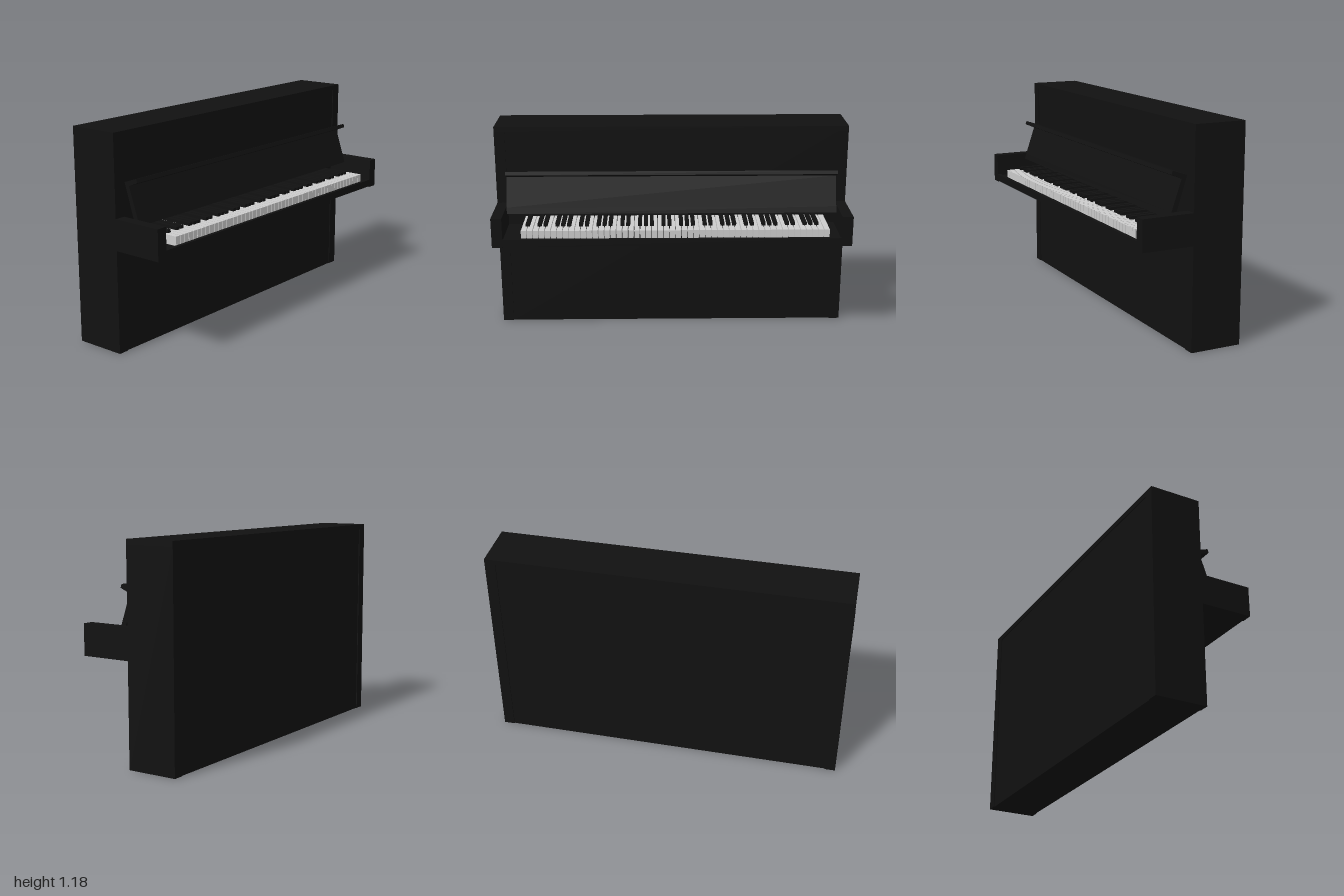
import * as THREE from 'three';

export function createModel() {
  const piano = new THREE.Group();
  piano.name = 'uprightPiano';
  const black = new THREE.MeshStandardMaterial({ color: 0x111111 });
  const ivory = new THREE.MeshStandardMaterial({ color: 0xdddddd });

  // Box given by its minimum and maximum corners
  function box(name, [x0, y0, z0], [x1, y1, z1], material = black, parent = piano) {
    const mesh = new THREE.Mesh(new THREE.BoxGeometry(x1 - x0, y1 - y0, z1 - z0), material);
    mesh.position.set((x0 + x1) / 2, (y0 + y1) / 2, (z0 + z1) / 2);
    mesh.name = name;
    parent.add(mesh);
    return mesh;
  }

  // Cabinet
  const inner = 0.94, back = -0.29;
  box('topLid', [-1, 1.15, back], [1, 1.18, 0]);
  box('cabinetBody', [-inner, 0, back + 0.005], [inner, 1.15, -0.005]);
  for (const [side, x0, x1] of [['left', inner, 1], ['right', -1, -inner]]) {
    box(side + 'SidePanel', [x0, 0, back], [x1, 1.15, 0]);
    box(side + 'KeyCheek', [x0, 0.565, 0], [x1, 0.735, 0.29]);
  }

  // Keybed and front rail
  box('keybed', [-inner, 0.57, -0.005], [inner, 0.605, 0.27]);
  box('keySlip', [-inner, 0.57, 0.27], [inner, 0.612, 0.29]);

  // Raised fallboard with its folded lip, drawn as (z, y) and extruded across
  const profile = new THREE.Shape([
    [0.073, 0.7], [0.103, 0.7], [0.092, 0.735], [0.036, 0.9],
    [0.095, 0.925], [0.088, 0.945], [0.005, 0.917],
  ].map(([z, y]) => new THREE.Vector2(-z, y)));
  const width = 2 * 0.935;
  const fallboardGeometry = new THREE.ExtrudeGeometry(profile, { depth: width, bevelEnabled: false });
  fallboardGeometry.translate(0, 0, -width / 2).rotateY(Math.PI / 2).rotateY(0);
  const fallboard = new THREE.Mesh(fallboardGeometry, black);
  fallboard.name = 'fallboard';
  piano.add(fallboard);

  // Keyboard: 52 white keys starting on A, 36 black keys in the gaps
  const keys = new THREE.Group();
  keys.name = 'keyboard';
  piano.add(keys);
  const count = 52, start = -0.842, pitch = 1.72 / count, gap = 0.002;
  const sharpAfter = [true, false, true, true, false, true, true]; // A B C D E F G
  for (let i = 0; i < count; i++) {
    const x = start + i * pitch;
    box('whiteKey', [x + gap, 0.605, 0], [x + pitch - gap, 0.655, 0.265], ivory, keys);
    if (sharpAfter[i % 7] && i < count - 1) {
      const c = x + pitch;
      box('blackKey', [c - 0.011, 0.64, 0], [c + 0.011, 0.672, 0.19], black, keys);
    }
  }
  return piano;
}
